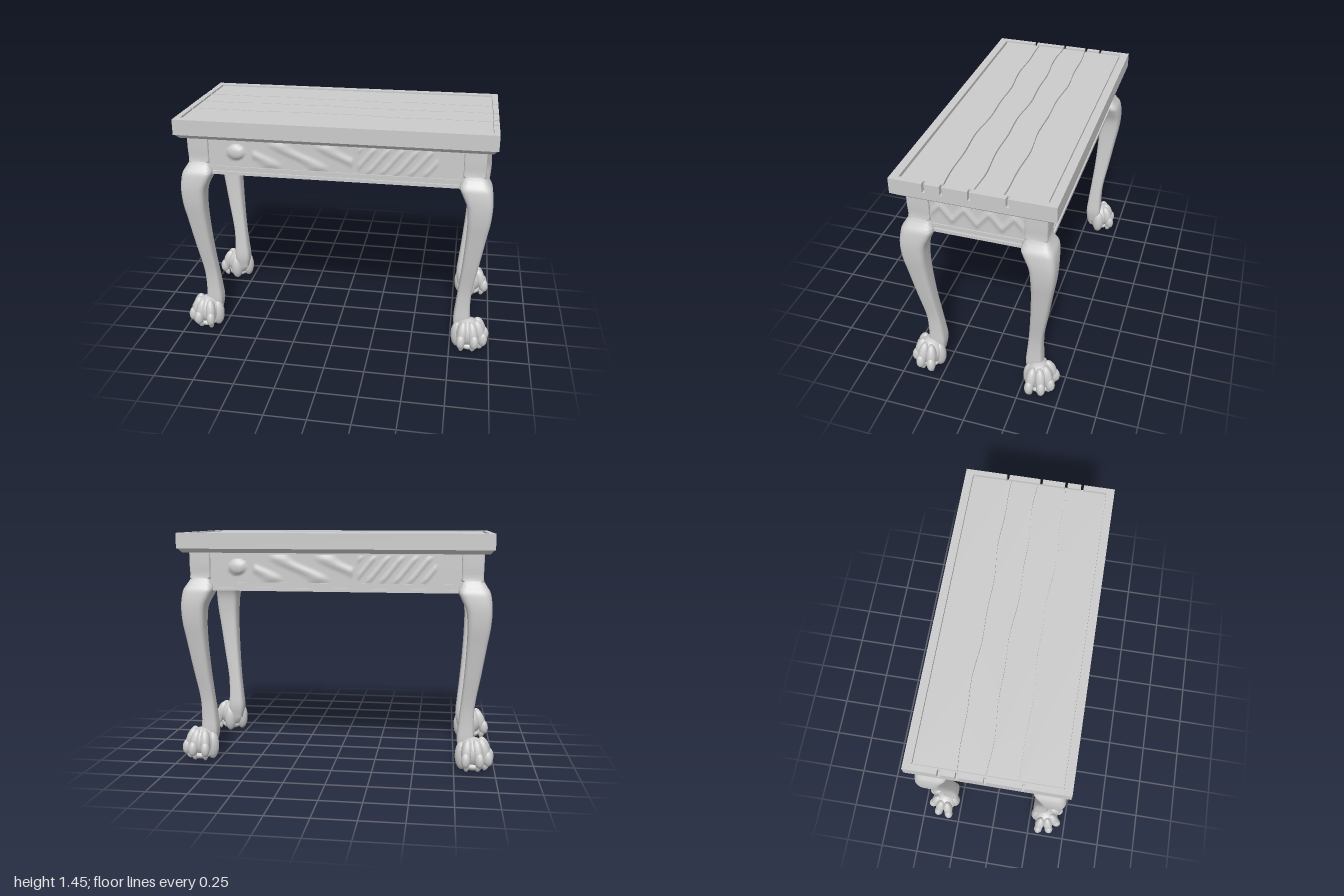
import * as THREE from 'three';
import { toCreasedNormals } from 'three/addons/utils/BufferGeometryUtils.js';

const mat = new THREE.MeshStandardMaterial({ color: 0xcccccc });

function add(parent, geo, name, x = 0, y = 0, z = 0) {
  const m = new THREE.Mesh(geo, mat);
  m.name = name;
  m.position.set(x, y, z);
  parent.add(m);
  return m;
}

// box given by its limits on each axis
function block(parent, name, x0, x1, y0, y1, z0, z1) {
  return add(parent, new THREE.BoxGeometry(x1 - x0, y1 - y0, z1 - z0), name,
    (x0 + x1) / 2, (y0 + y1) / 2, (z0 + z1) / 2);
}

// wavy joint between two planks
const seam = (z, x) => z + 0.007 * Math.sin(x * 6 + z * 30) + 0.005 * Math.sin(x * 15 + z * 50);

function tableTop() {
  const g = new THREE.Group();
  g.name = 'tableTop';
  block(g, 'topCore', -0.93, 0.93, 1.36, 1.432, -0.42, 0.42);

  // tapered moulding under the top
  const taper = new THREE.BoxGeometry(1.91, 0.027, 0.92).toNonIndexed();
  const p = taper.attributes.position;
  for (let i = 0; i < p.count; i++) {
    if (p.getY(i) < 0) p.setXYZ(i, p.getX(i) * 0.975, p.getY(i), p.getZ(i) * 0.95);
  }
  taper.computeVertexNormals();
  add(g, taper, 'underMoulding', 0, 1.3485, 0);

  // four planks with uneven edges
  const lines = [-0.41, -0.17, -0.005, 0.17, 0.41];
  for (let k = 0; k < 4; k++) {
    const pts = [], n = 40;
    const edge = (j, x) => (j === 0 || j === 4 ? lines[j] : seam(lines[j], x));
    for (let i = 0; i <= n; i++) {
      const x = -0.92 + 1.84 * i / n;
      pts.push(new THREE.Vector2(x, edge(k, x) + 0.004));
    }
    for (let i = n; i >= 0; i--) {
      const x = -0.92 + 1.84 * i / n;
      pts.push(new THREE.Vector2(x, edge(k + 1, x) - 0.004));
    }
    const geo = new THREE.ExtrudeGeometry(new THREE.Shape(pts), { depth: 0.02, bevelEnabled: false });
    geo.rotateX(Math.PI / 2);
    add(g, geo, 'plank', 0, 1.448, 0);
  }

  // rim: long rails, and end rails cut by notches
  for (const s of [0, 1]) {
    const half = new THREE.Group();
    half.name = 'rimHalf';
    half.rotation.y = s * Math.PI;
    block(half, 'longRail', -0.96, 0.96, 1.36, 1.455, 0.416, 0.465);
    block(half, 'endRailBase', 0.92, 0.96, 1.36, 1.40, -0.416, 0.416);
    const cuts = [-0.2, 0.01, 0.165, 0.265];
    let z = -0.416;
    for (const c of [...cuts, 0.424]) {
      block(half, 'endRail', 0.926, 0.96, 1.40, 1.455, z, c - 0.008);
      z = c + 0.008;
    }
    g.add(half);
  }
  return g;
}

// low carved relief: an oval boss, scrolls and slanted strokes
function longRelief(x, y) {
  const boss = 0.022 * Math.sqrt(Math.max(0, 1 - ((x + 0.6) / 0.055) ** 2 - ((y - 0.005) / 0.045) ** 2));
  const scroll = x < 0.12 && x > -0.5 ? Math.max(0, Math.sin(x * 22 + y * 26 + Math.sin(y * 30))) : 0;
  const strokes = x > 0.15 && x < 0.62 ? Math.max(0, Math.sin(x * 75 - y * 60)) : 0;
  return boss + 0.009 * scroll + 0.007 * strokes;
}
function endRelief(x, y) {
  const zigzag = Math.abs(((x * 7 + 20.5) % 1) - 0.5) * 0.18 - 0.045;
  return 0.010 * Math.exp(-(((y - zigzag) / 0.022) ** 2));
}

// apron board facing +z, turned into place
function apron(name, half, dist, turn, relief) {
  const g = new THREE.Group();
  g.name = name;
  g.rotation.y = turn;
  block(g, 'board', -half, half, 1.105, 1.345, dist - 0.045, dist);
  block(g, 'bottomBead', -half, half, 1.10, 1.12, dist - 0.045, dist + 0.012);
  block(g, 'lowerBead', -half, half, 1.142, 1.152, dist - 0.01, dist + 0.007);
  block(g, 'topBead', -half, half, 1.325, 1.345, dist - 0.01, dist + 0.01);
  const w = half * 2 - 0.02, h = 0.17;
  const geo = new THREE.PlaneGeometry(w, h, Math.round(w * 90), 16);
  const p = geo.attributes.position;
  for (let i = 0; i < p.count; i++) {
    const x = p.getX(i), y = p.getY(i);
    const fade = Math.min(1, (h / 2 - Math.abs(y)) / 0.025, (w / 2 - Math.abs(x)) / 0.03);
    p.setZ(i, fade * relief(x, y));
  }
  geo.computeVertexNormals();
  add(g, geo, 'carvedPanel', 0, 1.238, dist + 0.001);
  return g;
}

// curved leg: height, inner limit, outer limit (same on both axes)
const legRows = [
  [1.345, 0.27, 0.402], [1.26, 0.27, 0.402], [1.18, 0.27, 0.402], [1.145, 0.262, 0.42],
  [1.11, 0.252, 0.442], [1.07, 0.27, 0.451], [1.0, 0.302, 0.456], [0.9, 0.312, 0.45],
  [0.8, 0.312, 0.434], [0.6, 0.302, 0.403], [0.4, 0.285, 0.371], [0.28, 0.273, 0.367],
  [0.18, 0.266, 0.37], [0.1, 0.28, 0.36],
].map((r) => new THREE.Vector3(...r));

function legGeometry() {
  const curve = new THREE.CatmullRomCurve3(legRows), rows = 52, seg = 32;
  const pos = [], idx = [];
  for (let i = 0; i <= rows; i++) {
    const { x: y, y: lo, z: hi } = curve.getPoint(i / rows);
    const power = y > 1.17 ? 14 : 4.5;
    const c = (lo + hi) / 2, r = (hi - lo) / 2;
    const round = (v) => c + r * Math.sign(v) * Math.abs(v) ** (2 / power);
    for (let j = 0; j < seg; j++) {
      const a = 2 * Math.PI * j / seg;
      pos.push(round(Math.cos(a)), y, round(Math.sin(a)));
      if (i < rows) {
        const k = i * seg + j, n = i * seg + (j + 1) % seg;
        idx.push(k, n, k + seg, n, n + seg, k + seg);
      }
    }
  }
  const geo = new THREE.BufferGeometry();
  geo.setAttribute('position', new THREE.Float32BufferAttribute(pos, 3));
  geo.setIndex(idx);
  return toCreasedNormals(geo, 0.6);
}

// clawed paw, toes fanned around the outer corner
function paw(sx, sz) {
  const g = new THREE.Group();
  g.name = 'paw';
  g.position.set(sx * 0.85, 0, sz * 0.345);
  const ball = new THREE.SphereGeometry(1, 18, 14);
  const lump = (name, angle, reach, y, rOut, rY, rSide, tilt = 0) => {
    const a = angle * Math.PI / 180;
    const x = sx * Math.cos(a) * reach, z = sz * Math.sin(a) * reach * 0.87;
    const m = add(g, ball, name, x, y, z);
    m.scale.set(rOut, rY, rSide);
    m.rotation.set(0, -Math.atan2(z, x), tilt, 'YXZ');
  };
  lump('pawCore', 45, 0.02, 0.115, 0.088, 0.095, 0.085);
  for (const angle of [-14, 27, 63, 104]) {
    lump('toe', angle, 0.088, 0.135, 0.036, 0.074, 0.032, 0.3);
    lump('toeTip', angle, 0.118, 0.085, 0.032, 0.05, 0.028, 0.1);
    lump('claw', angle, 0.108, 0.042, 0.019, 0.036, 0.017, -0.35);
  }
  for (const angle of [-72, 162]) lump('heelPad', angle, 0.055, 0.092, 0.042, 0.09, 0.042);
  lump('sole', 45, 0.03, 0.035, 0.07, 0.032, 0.07);
  return g;
}

export function createModel() {
  const model = new THREE.Group();
  model.name = 'table';
  model.add(tableTop());
  for (const k of [0, 1]) {
    model.add(apron(k ? 'backApron' : 'frontApron', 0.79, 0.385, k * Math.PI, longRelief));
    model.add(apron(k ? 'rightApron' : 'leftApron', 0.29, 0.882, Math.PI / 2 + k * Math.PI, endRelief));
  }
  // the leg is symmetric about its diagonal, so quarter turns place all four
  const legGeo = legGeometry();
  [[1, 1], [1, -1], [-1, -1], [-1, 1]].forEach(([sx, sz], k) => {
    const leg = add(model, legGeo, 'leg', sx * 0.5, 0, 0);
    leg.rotation.y = k * Math.PI / 2;
    model.add(paw(sx, sz));
  });
  return model;
}
